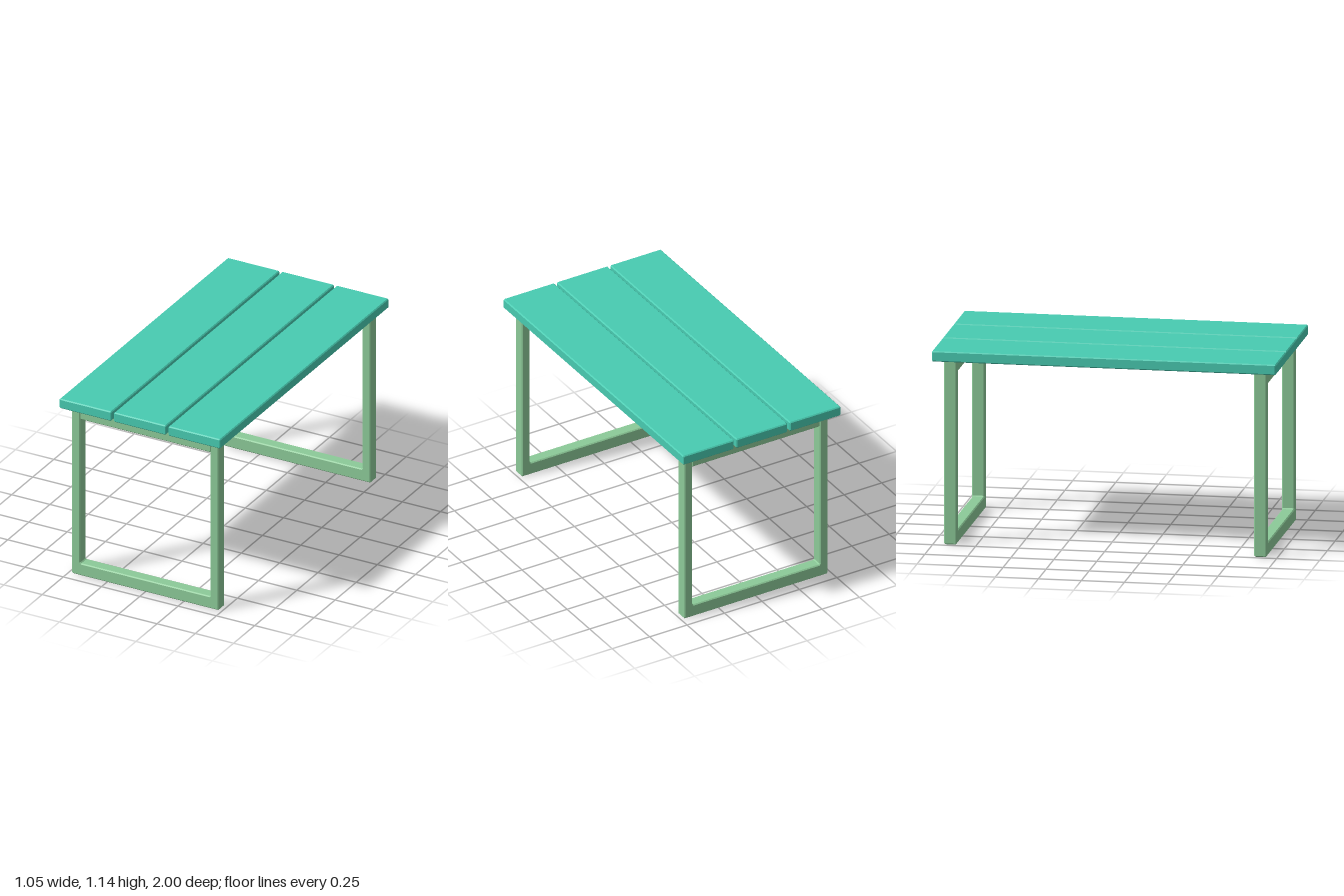
import * as THREE from 'three';

const BEVEL = 0.006;

// Extrudes an outline along z, centred, with chamfered edges
function chamferedExtrude(points, depth) {
  const shape = new THREE.Shape(points.map(([x, y]) => new THREE.Vector2(x, y)));
  const geometry = new THREE.ExtrudeGeometry(shape, {
    depth: depth - 2 * BEVEL,
    bevelEnabled: true,
    bevelThickness: BEVEL,
    bevelSize: BEVEL,
    bevelOffset: -BEVEL,
    bevelSegments: 1,
  });
  return geometry.translate(0, 0, BEVEL - depth / 2);
}

// Replaces every corner of an outline with a short diagonal
function cutCorners(points, cut = BEVEL) {
  const toward = (a, b) => {
    const t = cut / Math.hypot(b[0] - a[0], b[1] - a[1]);
    return [a[0] + (b[0] - a[0]) * t, a[1] + (b[1] - a[1]) * t];
  };
  const n = points.length;
  return points.flatMap((p, i) => [toward(p, points[(i + n - 1) % n]), toward(p, points[(i + 1) % n])]);
}

function rectangle(x0, x1, y0, y1) {
  return cutCorners([[x0, y0], [x1, y0], [x1, y1], [x0, y1]]);
}

export function createModel() {
  const model = new THREE.Group();
  model.name = 'table';
  const topMaterial = new THREE.MeshStandardMaterial({ color: 0x48cbb1, flatShading: true });
  const frameMaterial = new THREE.MeshStandardMaterial({ color: 0x8cca98, flatShading: true });

  const add = (parent, name, geometry, material) => {
    const mesh = new THREE.Mesh(geometry, material);
    mesh.name = name;
    parent.add(mesh);
    return mesh;
  };

  // Three planks with narrow gaps
  const plank = chamferedExtrude(rectangle(-0.17, 0.17, 1.081, 1.142), 2);
  [['rightPlank', -0.357], ['middlePlank', -0.001], ['leftPlank', 0.355]].forEach(([name, x]) => {
    add(model, name, plank, topMaterial).position.x = x;
  });

  // U-shaped leg frames, each closed by a rail under the planks
  const outer = 0.48, inner = 0.425, legTop = 1.08, footTop = 0.077;
  const legs = chamferedExtrude(cutCorners([
    [-outer, 0], [outer, 0], [outer, legTop], [inner, legTop],
    [inner, footTop], [-inner, footTop], [-inner, legTop], [-outer, legTop],
  ]), 0.072);
  const rail = chamferedExtrude(rectangle(-inner - 0.003, inner + 0.003, 1.004, 1.079), 0.07);
  [['frontFrame', 0.901], ['backFrame', -0.901]].forEach(([name, z]) => {
    const frame = new THREE.Group();
    frame.name = name;
    frame.position.z = z;
    add(frame, 'legsAndFoot', legs, frameMaterial);
    add(frame, 'topRail', rail, frameMaterial);
    model.add(frame);
  });

  return model;
}
